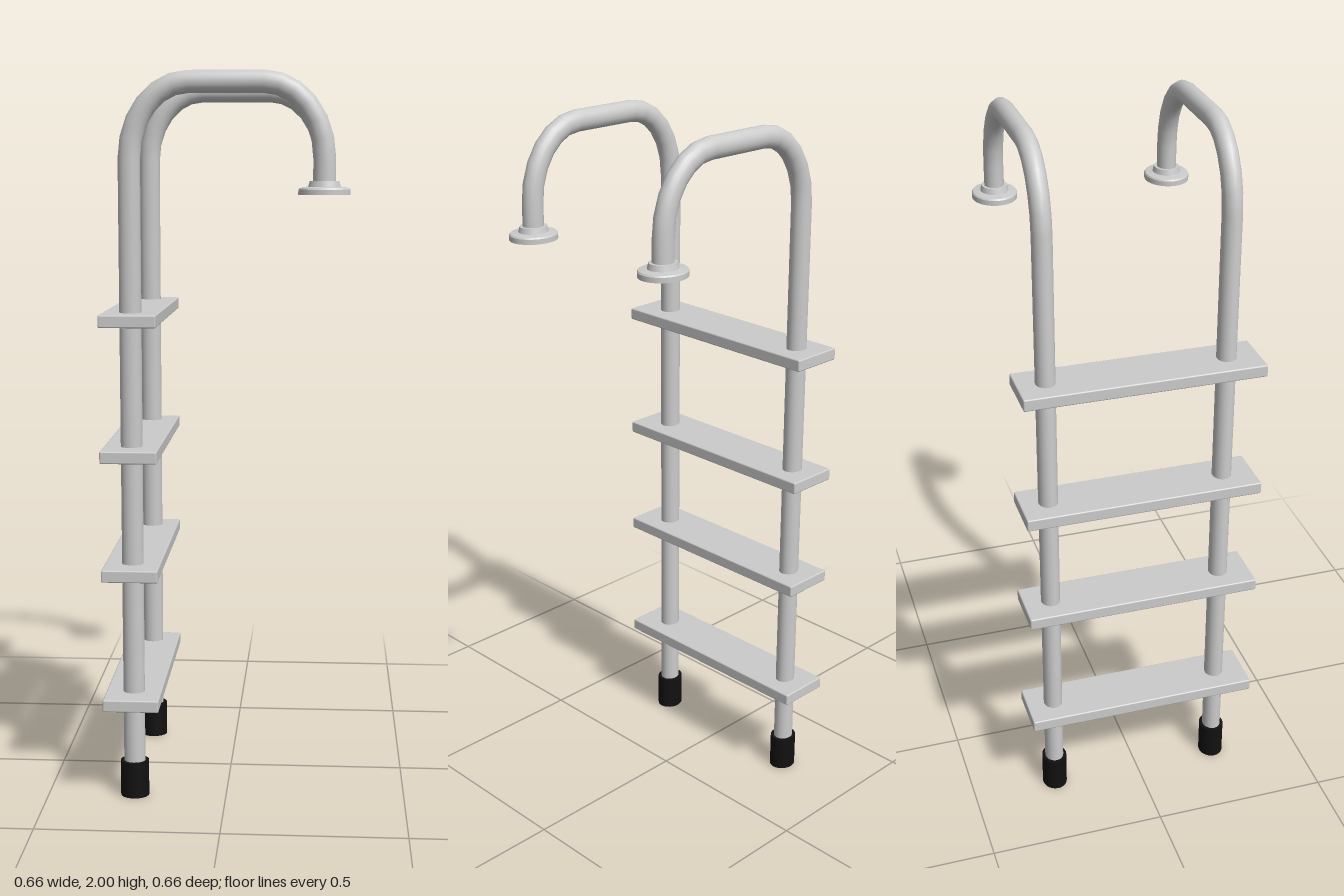
import * as THREE from 'three';
import { RoundedBoxGeometry } from 'three/addons/geometries/RoundedBoxGeometry.js';

const LEG_X = -0.257, HOOK_X = 0.261;
const RAIL_Z = [0.242, -0.255];
const STEP_Y = [0.287, 0.653, 0.98, 1.345];
const FLATTEN = 0.89; // round parts are slightly narrower across z

// Path through given points, one tube ring per point
class RailPath extends THREE.Curve {
  constructor(points) {
    super();
    this.points = points;
  }
  index(u) {
    return Math.round(u * (this.points.length - 1));
  }
  getPointAt(u, target = new THREE.Vector3()) {
    return target.copy(this.points[this.index(u)]);
  }
  getTangentAt(u, target = new THREE.Vector3()) {
    const p = this.points, i = this.index(u);
    const tangent = target.set(0, 0, 0);
    if (i > 0) tangent.add(p[i].clone().sub(p[i - 1]).normalize());
    if (i < p.length - 1) tangent.add(p[i + 1].clone().sub(p[i]).normalize());
    return tangent.normalize();
  }
}

// Leg, two quarter bends and the short drop to the deck
function railPoints() {
  const pts = [new THREE.Vector3(LEG_X, 0.03, 0)];
  const bend = (cx, endX, from, to) => {
    for (let i = 0; i <= 6; i++) {
      const a = from + ((to - from) * i) / 6;
      pts.push(new THREE.Vector3(
        cx + Math.abs(endX - cx) * Math.cos(a), 1.77 + 0.199 * Math.sin(a), 0));
    }
  };
  bend(-0.1, LEG_X, Math.PI, Math.PI / 2);
  bend(0.1, HOOK_X, Math.PI / 2, 0);
  pts.push(new THREE.Vector3(HOOK_X, 1.68, 0));
  return pts;
}

function lathe(profile, sides) {
  return new THREE.LatheGeometry(profile.map(([r, y]) => new THREE.Vector2(r, y)), sides);
}

export function createModel() {
  const model = new THREE.Group();
  const metal = new THREE.MeshStandardMaterial({ color: 0xcccccc });
  const openMetal = new THREE.MeshStandardMaterial({ color: 0xcccccc, side: THREE.DoubleSide });
  const rubber = new THREE.MeshStandardMaterial({ color: 0x111111 });

  const points = railPoints();
  const railGeo = new THREE.TubeGeometry(new RailPath(points), points.length - 1, 0.03, 20, false);
  const footGeo = new THREE.CylinderGeometry(0.04, 0.04, 0.102, 24);

  // Deck flange: hollow dish with a raised collar, doubled points keep edges crisp
  const flangeGeo = lathe([
    [0.062, 0], [0.069, 0], [0.069, 0], [0.069, 0.014], [0.069, 0.014], [0.066, 0.018],
    [0.066, 0.018], [0.043, 0.021], [0.043, 0.021], [0.039, 0.036], [0.039, 0.036], [0.029, 0.036],
  ], 32);
  const flangeInsideGeo = lathe([[0.062, 0], [0.062, 0.012], [0.062, 0.012], [0.029, 0.014]], 32);

  const add = (parent, name, geometry, material, x = 0, y = 0, z = 0) => {
    const mesh = new THREE.Mesh(geometry, material);
    mesh.name = name;
    mesh.position.set(x, y, z);
    parent.add(mesh);
  };

  // Two side rails with foot caps and flanges
  RAIL_Z.forEach((z, i) => {
    const side = new THREE.Group();
    side.name = i === 0 ? 'frontSide' : 'backSide';
    side.position.z = z;
    side.scale.z = FLATTEN;
    add(side, 'handrail', railGeo, openMetal);
    add(side, 'footCap', footGeo, rubber, LEG_X, 0.051);
    add(side, 'flange', flangeGeo, openMetal, HOOK_X, 1.675);
    add(side, 'flangeInside', flangeInsideGeo, openMetal, HOOK_X, 1.675);
    model.add(side);
  });

  // Steps
  const stepGeo = new RoundedBoxGeometry(0.154, 0.034, 0.664, 2, 0.004);
  STEP_Y.forEach((y, i) => add(model, `step${i + 1}`, stepGeo, metal, LEG_X, y, 0));

  return model;
}
